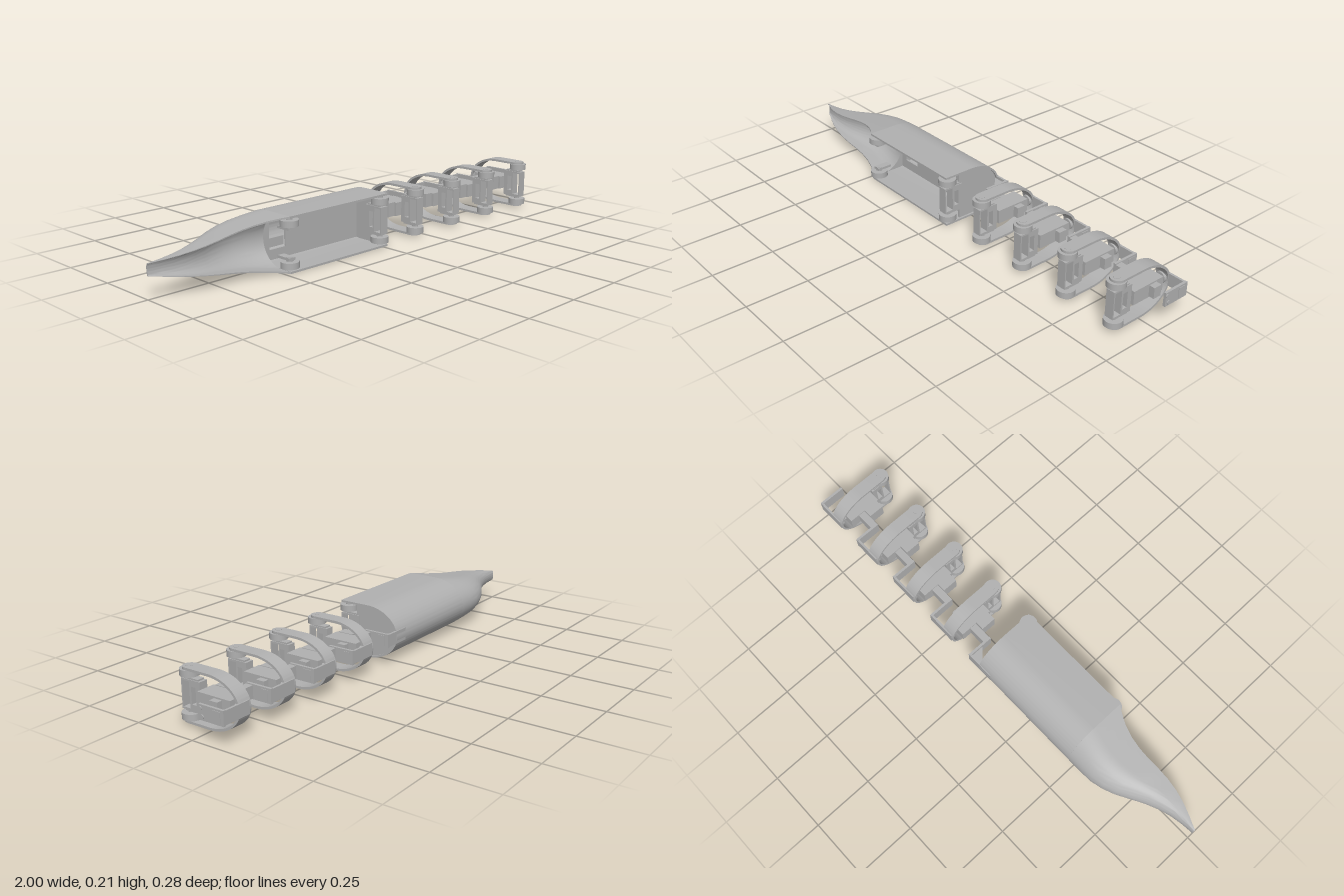
import * as THREE from 'three';
import { toCreasedNormals } from 'three/addons/utils/BufferGeometryUtils.js';

const CY = 0.107; // mid height of every part

export function createModel() {
  const model = new THREE.Group();
  model.name = 'segmentedRobot';
  const grey = new THREE.MeshStandardMaterial({ color: 0xb0b0b0 });
  grey.name = 'grey plastic';

  const add = (parent, name, geo) => {
    const m = new THREE.Mesh(geo, grey);
    m.name = name;
    parent.add(m);
    return m;
  };
  const box = (parent, name, x0, x1, y0, y1, z0, z1) =>
    add(parent, name, new THREE.BoxGeometry(x1 - x0, y1 - y0, z1 - z0)
      .translate((x0 + x1) / 2, (y0 + y1) / 2, (z0 + z1) / 2));
  const rod = (parent, name, r, len, x, y, z, axis = 'y') => {
    const g = new THREE.CylinderGeometry(r, r, len, 28);
    if (axis === 'x') g.rotateZ(Math.PI / 2);
    if (axis === 'z') g.rotateX(Math.PI / 2);
    return add(parent, name, g.translate(x, y, z));
  };
  // Shapes are drawn as (-z, y) and extruded along x
  const prism = (parent, name, shape, x0, x1) => {
    const g = new THREE.ExtrudeGeometry(shape, { depth: x1 - x0, bevelEnabled: false, curveSegments: 28 });
    return add(parent, name, toCreasedNormals(g.rotateY(Math.PI / 2).translate(x0, 0, 0), 0.6));
  };
  const rect = (Type, z0, z1, y0, y1) => {
    const s = new Type();
    s.moveTo(-z1, y0);
    s.lineTo(-z0, y0);
    s.lineTo(-z0, y1);
    s.lineTo(-z1, y1);
    s.closePath();
    return s;
  };
  // Round-backed section; with a wall thickness it becomes an open arch
  const dShape = (h, r, zEnd, wall = 0) => {
    const s = new THREE.Shape();
    s.moveTo(-zEnd, CY - h);
    s.lineTo(0, CY - h);
    s.absellipse(0, CY, r, h, -Math.PI / 2, Math.PI / 2, false);
    s.lineTo(-zEnd, CY + h);
    if (wall) {
      s.lineTo(-zEnd, CY + h - wall);
      s.lineTo(0, CY + h - wall);
      s.absellipse(0, CY, r - wall, h - wall, Math.PI / 2, -Math.PI / 2, true);
      s.lineTo(-zEnd, CY - h + wall);
    }
    s.closePath();
    return s;
  };

  // Wheel pair with hubs and short axle stubs
  const wheels = (parent, x) => {
    for (const s of [-1, 1]) {
      rod(parent, 'wheel', 0.035, 0.024, x, CY + s * 0.078, 0.105);
      rod(parent, 'hub', 0.012, 0.05, x, CY + s * 0.075, 0.105);
      box(parent, 'wheelArm', x - 0.015, x + 0.015, CY + s * 0.056 - 0.005, CY + s * 0.056 + 0.005, 0.055, 0.118);
    }
  };
  // Windowed cross frame between the wheels
  const crossFrame = (parent, x) => {
    const s = rect(THREE.Shape, 0.045, 0.13, 0.052, 0.162);
    s.holes.push(rect(THREE.Path, 0.093, 0.125, 0.059, 0.155), rect(THREE.Path, 0.064, 0.085, 0.075, 0.139));
    prism(parent, 'crossFrame', s, x - 0.018, x + 0.018);
  };

  // Head: hollow tapering loft, rows of x, back z, chin z
  const rows = [
    [-0.48, -0.14, 0.127], [-0.51, -0.14, 0.108], [-0.55, -0.14, 0.088], [-0.6, -0.138, 0.073],
    [-0.65, -0.127, 0.066], [-0.7, -0.107, 0.065], [-0.75, -0.079, 0.067], [-0.8, -0.051, 0.066],
    [-0.85, -0.029, 0.06], [-0.9, -0.013, 0.048], [-0.95, -0.004, 0.03], [-0.98, -0.001, 0.017], [-1, 0, 0.01],
  ];
  const N = 34, M = N * 2, pos = [], idx = [];
  const half = (h, zb, zc, zf) => {
    const p = [[h, zf]];
    for (let i = 0; i < N - 2; i++) {
      const a = (Math.PI * i) / (N - 3);
      p.push([h * Math.cos(a), zc - (zc - zb) * Math.sin(a)]);
    }
    p.push([-h, zf]);
    return p;
  };
  rows.forEach(([x, zb, zf], j) => {
    const t = (-0.48 - x) / 0.52;
    const h = 0.1065 + (0.022 - 0.1065) * t;
    const d = zf - zb;
    const outer = half(h, zb, zb + d * 0.53, zf);
    const inner = half(h * 0.94, zf - d * 0.57, zf - d * 0.2, zf).reverse();
    for (const [y, z] of [...outer, ...inner]) pos.push(x, CY + y, z);
    if (j === rows.length - 1) return;
    for (let i = 0; i < M; i++) {
      const a = j * M + i, b = j * M + ((i + 1) % M);
      idx.push(a, b, a + M, b, b + M, a + M);
    }
  });
  const last = (rows.length - 1) * M;
  for (let i = 0; i < N - 1; i++) {
    const a = i, b = i + 1, c = M - 2 - i, d = M - 1 - i;
    idx.push(a, c, b, a, d, c);
    idx.push(last + a, last + b, last + c, last + a, last + c, last + d);
  }
  const loft = new THREE.BufferGeometry();
  loft.setAttribute('position', new THREE.Float32BufferAttribute(pos, 3));
  loft.setIndex(idx);
  add(model, 'head', toCreasedNormals(loft, 0.6));

  // Body shell with end plate and inner floor
  const body = new THREE.Group();
  body.name = 'body';
  model.add(body);
  prism(body, 'bodyShell', dShape(0.1065, 0.14, 0.128, 0.008), -0.48, 0.022);
  prism(body, 'endPlate', dShape(0.0985, 0.132, 0.057), 0.004, 0.014);
  const floor = new THREE.Shape();
  floor.moveTo(-0.479, 0.009);
  floor.lineTo(0.004, 0.009);
  floor.lineTo(0.004, 0.205);
  floor.lineTo(-0.479, 0.205);
  floor.closePath();
  const hatch = new THREE.Path();
  hatch.moveTo(-0.45, 0.05);
  hatch.lineTo(-0.37, 0.05);
  hatch.lineTo(-0.37, 0.165);
  hatch.lineTo(-0.45, 0.165);
  hatch.closePath();
  floor.holes.push(hatch);
  add(body, 'innerFloor', new THREE.ExtrudeGeometry(floor, { depth: 0.008, bevelEnabled: false }).translate(0, 0, -0.035));
  box(body, 'hatchBlock', -0.45, -0.37, 0.055, 0.09, -0.07, -0.04);
  wheels(body, -0.465);
  wheels(body, 0);
  crossFrame(body, 0);

  // Bent link carrying the next segment
  const link = (parent, x) => {
    box(parent, 'linkTop', x - 0.02, x + 0.103, 0.083, 0.133, -0.139, -0.13);
    box(parent, 'linkPlate', x + 0.093, x + 0.103, 0.08, 0.135, -0.139, -0.03);
    rod(parent, 'linkScrew', 0.008, 0.004, x + 0.104, 0.121, -0.038, 'x');
    rod(parent, 'linkScrew', 0.008, 0.004, x + 0.104, 0.093, -0.046, 'x');
    box(parent, 'linkWindow', x + 0.1, x + 0.105, 0.087, 0.128, -0.125, -0.095);
    rod(parent, 'linkPivot', 0.022, 0.012, x, CY, -0.125, 'z');
  };

  // Tail: four identical wheeled segments
  const pitch = 0.228, first = 0.207;
  const neck = new THREE.Group();
  neck.name = 'neck';
  model.add(neck);
  link(neck, first - pitch);
  const gusset = new THREE.Shape([[0.014, 0.138], [0.014, 0.128], [0.072, 0.075], [0.072, 0.138]]
    .map(([x, y]) => new THREE.Vector2(x, y)));
  add(neck, 'neckGusset', new THREE.ExtrudeGeometry(gusset, { depth: 0.03, bevelEnabled: false })
    .rotateX(-Math.PI / 2).translate(0, 0.092, 0));

  for (let i = 0; i < 4; i++) {
    const x = first + i * pitch;
    const seg = new THREE.Group();
    seg.name = 'tailSegment' + (i + 1);
    model.add(seg);
    prism(seg, 'arch', dShape(0.099, 0.139, 0.1, 0.009), x - 0.028, x + 0.028);
    for (const s of [-1, 1]) rod(seg, 'archEnd', 0.028, 0.009, x, CY + s * 0.0945, 0.1);
    wheels(seg, x);
    crossFrame(seg, x);
    box(seg, 'servo', x - 0.048, x + 0.03, 0.08, 0.135, -0.1, 0.045);
    box(seg, 'servoFront', x - 0.085, x - 0.045, 0.08, 0.137, -0.028, 0.036);
    box(seg, 'servoTab', x - 0.128, x - 0.04, 0.083, 0.131, -0.06, -0.03);
    box(seg, 'servoFlange', x + 0.03, x + 0.053, 0.085, 0.129, -0.065, -0.03);
    rod(seg, 'servoShaft', 0.012, 0.04, x, CY, -0.115, 'z');
    link(seg, x);
  }
  return model;
}
